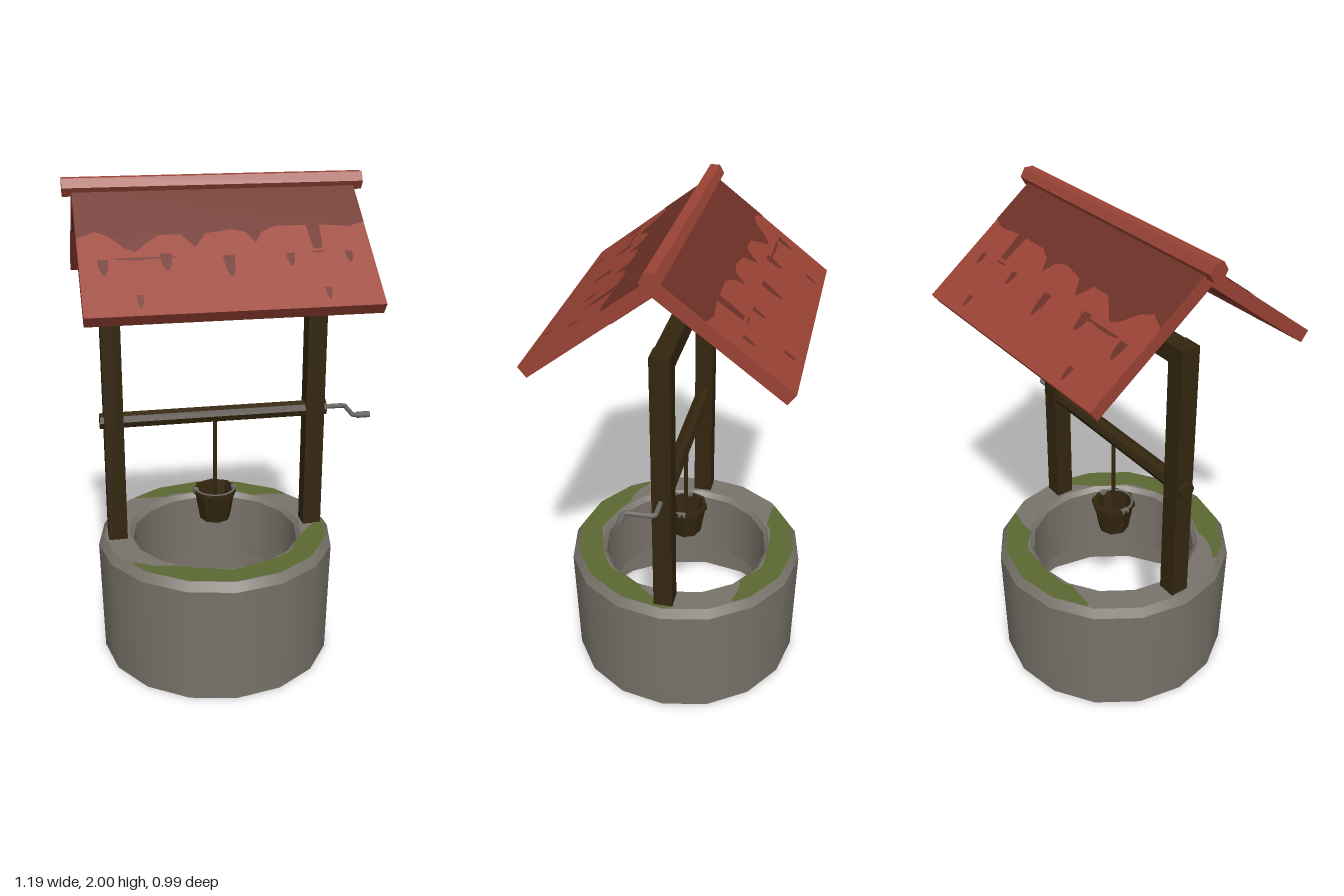
import * as THREE from 'three';

const mat = (name, color, side = THREE.FrontSide, flatShading = false) => {
  const m = new THREE.MeshStandardMaterial({ color, side, flatShading });
  m.name = name;
  return m;
};

export function createModel() {
  const root = new THREE.Group();
  root.name = 'well';
  const stone = mat('stone', 0x78736a, THREE.DoubleSide);
  const moss = mat('moss', 0x5b6832, THREE.DoubleSide);
  const wood = mat('dark wood', 0x33260f, THREE.DoubleSide, true);
  const red = mat('roof red', 0x9b4335, THREE.FrontSide, true);
  const darkRed = mat('weathered red', 0x6e3127, THREE.DoubleSide);
  const metal = mat('metal', 0x6c6b67, THREE.DoubleSide);
  const CX = -0.03; // axis of the well

  const add = (name, geo, material, x = 0, y = 0, z = 0, parent = root) => {
    const m = new THREE.Mesh(geo, material);
    m.name = name;
    m.position.set(x, y, z);
    parent.add(m);
    return m;
  };
  const v2 = (x, y) => new THREE.Vector2(x, y);

  // Stone wall: one lathe per band, so edges between bands stay sharp
  const SIDES = 16;
  const profile = [[0.485, 0], [0.495, 0.49], [0.472, 0.525], [0.366, 0.525], [0.348, 0.505], [0.342, 0.23]];
  const bands = ['outerWall', 'outerBevel', 'rimTop', 'innerBevel', 'innerWall'];
  bands.forEach((name, i) => {
    const pts = [profile[i], profile[i + 1]].map(p => v2(...p));
    add(name, new THREE.LatheGeometry(pts, SIDES), stone, CX);
  });

  // Moss patches on the rim, angles in degrees from +x towards +z
  const step = Math.PI * 2 / SIDES;
  const polyR = (r, a) => {
    const local = ((a % step) + step) % step - step / 2;
    return r * Math.cos(step / 2) / Math.cos(local);
  };
  const mossPatch = (from, to) => {
    const outer = [], inner = [], n = 40;
    for (let i = 0; i <= n; i++) {
      const a = (from + (to - from) * i / n) * Math.PI / 180;
      const taper = Math.min(1, Math.min(i, n - i) / 6);
      const ro = polyR(0.471, a);
      const ri = ro - (ro - polyR(0.372 + 0.006 * Math.sin(a * 9), a)) * (0.15 + 0.85 * taper);
      outer.push(v2(ro * Math.cos(a), -ro * Math.sin(a)));
      inner.unshift(v2(ri * Math.cos(a), -ri * Math.sin(a)));
    }
    const g = new THREE.ShapeGeometry(new THREE.Shape([...outer, ...inner]));
    add('moss', g.rotateX(-Math.PI / 2), moss, CX, 0.5275);
  };
  mossPatch(-3, 146);
  mossPatch(229, 324);

  // Timber frame
  for (const [name, x] of [['rightPost', -0.445], ['leftPost', 0.384]])
    add(name, new THREE.BoxGeometry(0.077, 1.4, 0.077), wood, x, 0.94, 0);
  add('crossBeam', new THREE.BoxGeometry(0.76, 0.074, 0.07), wood, CX, 1.602, 0);
  add('axle', new THREE.CylinderGeometry(0.034, 0.034, 0.935, 8).rotateZ(Math.PI / 2), wood, -0.032, 1.041, 0);

  // Crank handle
  const crank = new THREE.CurvePath();
  const bends = [[0.43, 0], [0.51, 0], [0.52, 0.01], [0.52, 0.108], [0.53, 0.118], [0.585, 0.118]]
    .map(([x, z]) => new THREE.Vector3(x, 1.041, z));
  for (let i = 1; i < bends.length; i++) crank.add(new THREE.LineCurve3(bends[i - 1], bends[i]));
  add('crank', new THREE.TubeGeometry(crank, 40, 0.01, 6), metal);
  add('crankGrip', new THREE.CylinderGeometry(0.013, 0.013, 0.055, 6).rotateZ(Math.PI / 2), metal, 0.562, 1.041, 0.118);

  // Rope and bucket
  add('rope', new THREE.CylinderGeometry(0.009, 0.009, 0.43, 6), wood, CX, 0.805, 0);
  const bucket = [[0, 0.576], [0.064, 0.576], [0.084, 0.692], [0.092, 0.692], [0.092, 0.71],
    [0.076, 0.71], [0.058, 0.59], [0, 0.59]].map(p => v2(...p));
  add('bucket', new THREE.LatheGeometry(bucket, 8), wood, CX);
  add('bucketHandle', new THREE.TorusGeometry(0.08, 0.006, 5, 16, Math.PI).rotateX(Math.PI / 2), metal, CX, 0.708, 0);
  for (const s of [-1, 1])
    add('handleLug', new THREE.BoxGeometry(0.02, 0.014, 0.03), metal, CX + s * 0.08, 0.705, 0);

  // Roof: two slabs with weathering that runs down from the ridge
  const tilt = Math.atan2(0.37, 0.485), c = Math.cos(tilt);
  const LENGTH = 0.485 / c, THICK = 0.05, WIDTH = 1.07;
  const edge = [[-0.565, 0.205], [-0.5, 0.18], [-0.45, 0.2], [-0.4, 0.245], [-0.36, 0.26], [-0.32, 0.23],
    [-0.27, 0.2], [-0.19, 0.2], [-0.145, 0.25], [-0.1, 0.2], [0, 0.187], [0.05, 0.2], [0.08, 0.24],
    [0.11, 0.2], [0.16, 0.18], [0.28, 0.18], [0.287, 0.27], [0.322, 0.27], [0.33, 0.18], [0.44, 0.19], [0.505, 0.175]];
  const drips = new THREE.Shape([v2(-0.565, 0), ...edge.map(([x, z]) => v2(x, z / c)), v2(0.505, 0)]);
  // spots: x, start z, end z, half width
  const spots = [[-0.48, 0.285, 0.34, 0.02], [-0.255, 0.27, 0.33, 0.022], [-0.03, 0.285, 0.36, 0.022],
    [0.195, 0.285, 0.33, 0.016], [0.415, 0.285, 0.325, 0.014], [-0.365, 0.415, 0.46, 0.012],
    [0.305, 0.415, 0.455, 0.012], [-0.37, 0.281, 0.291, 0.08], [-0.27, 0.281, 0.289, 0.05],
    [0.3, 0.281, 0.287, 0.03]].map(([x, a, b, w]) => new THREE.Shape([
    v2(x - w, a / c), v2(x + w, a / c), v2(x + w * 0.8, (a + (b - a) * 0.6) / c),
    v2(x + w * 0.3, b / c), v2(x - w * 0.3, b / c), v2(x - w * 0.8, (a + (b - a) * 0.6) / c)]));
  const stains = new THREE.ShapeGeometry([drips, ...spots]).rotateX(Math.PI / 2);

  for (const s of [1, -1]) {
    const slope = new THREE.Group();
    slope.name = s > 0 ? 'frontRoof' : 'backRoof';
    slope.position.set(0, 1.968, 0);
    slope.rotation.x = s * tilt;
    add('roofSlab', new THREE.BoxGeometry(WIDTH, THICK, LENGTH), red, CX, -THICK / 2, s * LENGTH / 2, slope);
    for (const y of [0.002, -THICK - 0.002]) {
      const g = stains.clone();
      // turn the face outwards, then mirror for the back slope
      const flip = (y > 0) === (s > 0);
      g.scale(1, 1, s);
      if (flip) g.setIndex([...g.index.array].reverse());
      g.computeVertexNormals();
      add('weathering', g, darkRed, 0, y, 0, slope);
    }
    root.add(slope);
  }

  // Ridge cap, hexagonal with points to front and back
  add('ridgeCap', new THREE.CylinderGeometry(0.038, 0.038, 1.14, 6).rotateZ(Math.PI / 2), red, CX, 1.967, 0);
  return root;
}
